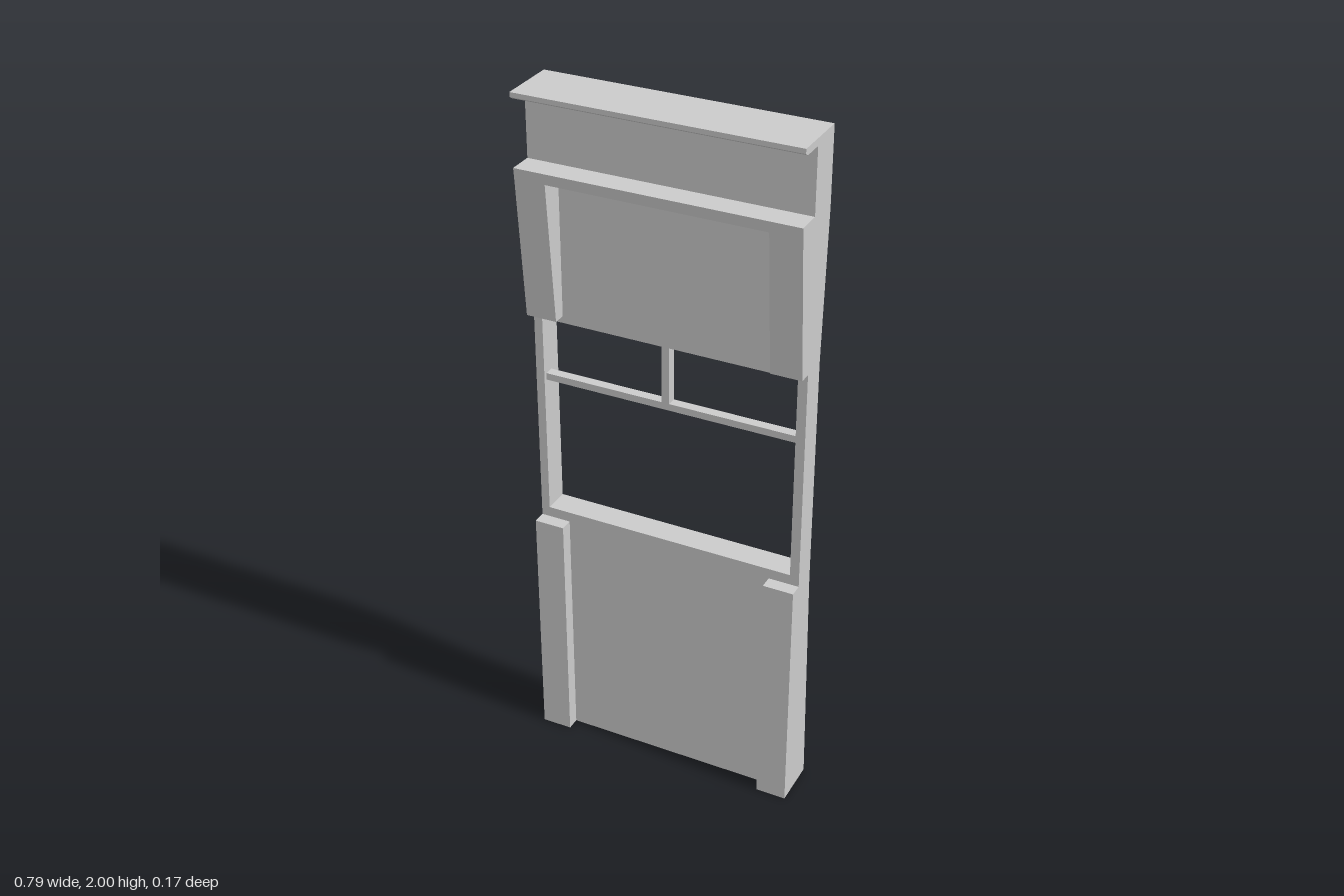
import * as THREE from 'three';
import { ConvexGeometry } from 'three/addons/geometries/ConvexGeometry.js';

const W = 0.3925;      // half width
const INNER = 0.305;   // inner edge of the side pilasters
const FRONT = 0.015;   // wall planes
const BACK = -0.06;

export function createModel() {
  const group = new THREE.Group();
  const material = new THREE.MeshStandardMaterial({ color: 0xcccccc, flatShading: true });

  const add = (name, geometry) => {
    const mesh = new THREE.Mesh(geometry, material);
    mesh.name = name;
    group.add(mesh);
  };

  // Box given by its limits
  const box = (name, x0, x1, y0, y1, z0, z1) => add(name,
    new THREE.BoxGeometry(x1 - x0, y1 - y0, z1 - z0)
      .translate((x0 + x1) / 2, (y0 + y1) / 2, (z0 + z1) / 2));

  // Side profile of [z, y] points, extruded from x0 to x1
  const profile = (name, points, x0, x1) => {
    const shape = new THREE.Shape(points.map(([z, y]) => new THREE.Vector2(z, y)));
    const geometry = new THREE.ExtrudeGeometry(shape, { depth: x1 - x0, bevelEnabled: false });
    add(name, geometry.rotateY(-Math.PI / 2).translate(x1, 0, 0));
  };

  const solid = (name, points) =>
    add(name, new ConvexGeometry(points.map((p) => new THREE.Vector3(...p))));

  // Wall with the window opening
  const rect = (path, x0, x1, y0, y1) =>
    path.moveTo(x0, y0).lineTo(x1, y0).lineTo(x1, y1).lineTo(x0, y1).closePath();
  const wall = rect(new THREE.Shape(), -W, W, 0, 2);
  wall.holes.push(rect(new THREE.Path(), -0.368, 0.366, 0.75, 1.35));
  add('wall', new THREE.ExtrudeGeometry(wall, { depth: FRONT - BACK, bevelEnabled: false })
    .translate(0, 0, BACK));

  // Window bars
  box('transomBar', -0.368, 0.366, 1.157, 1.177, -0.024, 0.004);
  box('mullion', -0.021, 0.001, 1.177, 1.35, -0.024, 0.004);

  // Pilasters, sloped brackets and flared back corners on both sides
  for (const s of [-1, 1]) {
    const x0 = s > 0 ? INNER : -W;
    const x1 = s > 0 ? W : -INNER;
    box('lowerPilaster', x0, x1, 0, 0.72, FRONT, 0.053);
    profile('upperBracket', [[FRONT, 1.37], [0.051, 1.37], [0.083, 1.77], [FRONT, 1.77]], x0, x1);
    solid('lowerBackFlare', [
      [s * INNER, 0, BACK], [s * W, 0, BACK], [s * W, 0, -0.087],
      [s * INNER, 0.7, BACK], [s * W, 0.7, BACK],
    ]);
    solid('upperBackFlare', [
      [s * INNER, 1.37, BACK], [s * W, 1.37, BACK],
      [s * INNER, 1.77, BACK], [s * W, 1.77, BACK], [s * W, 1.77, -0.082],
    ]);
  }

  // Ledge above the brackets
  profile('ledge', [[FRONT, 1.77], [0.083, 1.77], [0.086, 1.8], [FRONT, 1.8]], -W, W);

  // Cornice lip
  profile('cornice', [[FRONT, 1.98], [0.076, 1.98], [0.087, 1.987], [0.087, 2], [FRONT, 2]], -W, W);

  // Raised band on the back with a chamfered lower edge
  solid('backBand', [-W, W].flatMap((x) => [
    [x, 2, BACK], [x, 2, -0.083], [x, 1.8, -0.083], [x, 1.77, BACK],
    [x, 1.77, -0.082],
  ].slice(0, 4)).concat([-1, 1].map((s) => [s * W, 1.77, -0.082])));

  return group;
}
